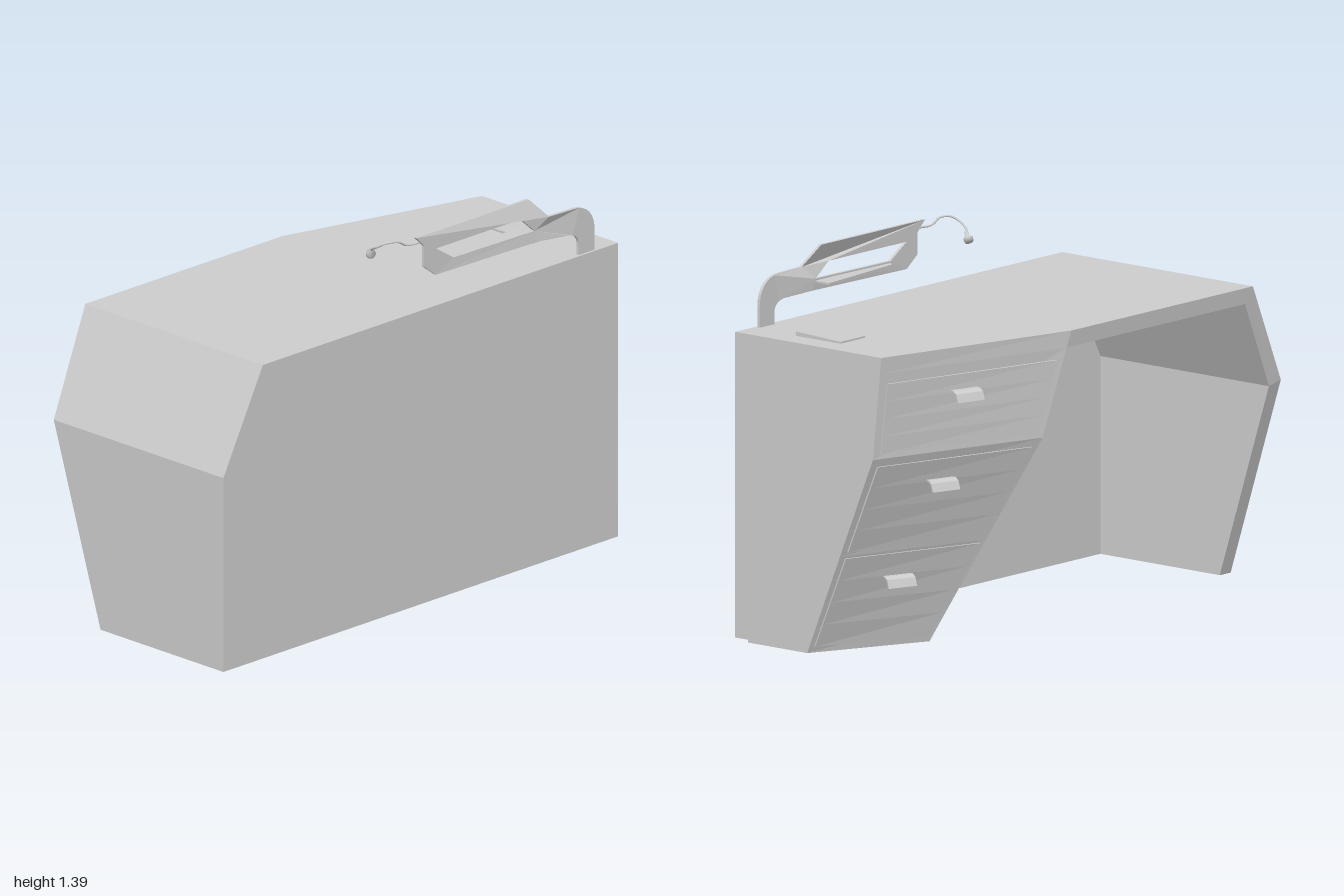
import * as THREE from 'three';

const material = new THREE.MeshStandardMaterial({ color: 0xcccccc });
const lerp = THREE.MathUtils.lerp;

// Skin a list of convex rings (counterclockwise around the direction of travel) with end caps.
function loft(rings) {
  const pos = [];
  const tri = (a, b, c) => pos.push(...a, ...b, ...c);
  const n = rings[0].length;
  for (let i = 0; i < rings.length - 1; i++) {
    for (let j = 0; j < n; j++) {
      const k = (j + 1) % n, r = rings[i], s = rings[i + 1];
      tri(r[j], r[k], s[k]);
      tri(r[j], s[k], s[j]);
    }
  }
  const first = rings[0], last = rings[rings.length - 1];
  for (let j = 1; j < n - 1; j++) {
    tri(first[0], first[j + 1], first[j]);
    tri(last[0], last[j], last[j + 1]);
  }
  const g = new THREE.BufferGeometry();
  g.setAttribute('position', new THREE.Float32BufferAttribute(pos, 3));
  g.computeVertexNormals();
  return g;
}

// Piecewise linear value of y through [y, value] pairs.
function along(y, pts) {
  let i = 0;
  while (i < pts.length - 2 && y > pts[i + 1][0]) i++;
  const [[y0, v0], [y1, v1]] = [pts[i], pts[i + 1]];
  return lerp(v0, v1, (y - y0) / (y1 - y0));
}

// Edges of the drawer front: outer edge at x = 1, slanting inner edge.
const outerZ = y => along(y, [[0, 0.11], [0.75, -0.2], [1.13, -0.24]]);
const innerZ = y => along(y, [[0, -0.09], [0.75, -0.41], [1.13, -0.45]]);
const innerX = y => along(y, [[0, 0.56], [0.75, 0.31], [1.13, 0.2]]);
const legZ = y => along(y, [[0, -0.17], [0.75, -0.41], [1.13, -0.45]]);

function outward(y) {
  const dx = innerX(y) - 1, dz = innerZ(y) - outerZ(y);
  return new THREE.Vector3(-dz, 0, dx).normalize();
}
function facePoint(u, y, off) {
  const n = outward(y);
  return [lerp(1, innerX(y), u) + n.x * off, y, lerp(outerZ(y), innerZ(y), u) + n.z * off];
}
const steps = (a, b, n) => Array.from({ length: n + 1 }, (_, i) => lerp(a, b, i / n));

export function createModel() {
  const model = new THREE.Group();
  const add = (name, geometry, parent = model, mat = material) => {
    const mesh = new THREE.Mesh(geometry, mat);
    mesh.name = name;
    parent.add(mesh);
    return mesh;
  };
  const backZ = 0.39;

  // Upright panel across the front
  const outline = [[-1, 0.01], [1, 0.01], [1, 1.13], [-0.8, 1.13], [-1, 0.75]];
  add('frontPanel', loft([backZ, 0.45].map(z => outline.map(([x, y]) => [x, y, z]))));

  // Worktop with one angled user edge
  add('worktop', loft([[1.07, -0.764], [1.13, -0.8]].map(([y, x]) => [
    [1, y, backZ], [1, y, outerZ(y)], [innerX(y), y, innerZ(y)], [x, y, legZ(y)], [x, y, backZ],
  ])));

  // Side leg that bends into the worktop: outer x, outer y, inner x, inner y
  const bends = [[-1, 0.01, -0.94, 0.01], [-1, 0.75, -0.94, 0.735], [-0.8, 1.13, -0.764, 1.07]];
  add('sideLeg', loft(bends.map(([ox, oy, ix, iy]) => [
    [ix, iy, legZ(iy)], [ox, oy, legZ(oy)], [ox, oy, backZ], [ix, iy, backZ],
  ])));

  // Drawer pedestal, leaning back toward the floor
  add('pedestal', loft([...steps(0, 0.75, 8), 1.07].map(y => [
    [1, y, outerZ(y)], [innerX(y), y, innerZ(y)], [innerX(y), y, backZ], [1, y, backZ],
  ])));

  // Drawers with hooded pulls
  const hood = new THREE.Shape([
    [-0.01, 0.02], [0.025, 0.019], [0.043, 0.01], [0.055, -0.02],
    [0.049, -0.02], [0.038, 0.005], [0.022, 0.013], [-0.01, 0.014],
  ].map(p => new THREE.Vector2(...p)));
  const hoodGeometry = new THREE.ExtrudeGeometry(hood, { depth: 0.115, bevelEnabled: false });
  hoodGeometry.translate(0, 0, -0.0575);
  const drawers = [[0.77, 1.03, 0.955], [0.39, 0.72, 0.625], [0.025, 0.365, 0.26]];
  drawers.forEach(([low, high, pullY], i) => {
    const drawer = new THREE.Group();
    drawer.name = 'drawer' + (i + 1);
    model.add(drawer);
    add('drawerFront', loft(steps(low, high, 4).map(y => [
      facePoint(0.04, y, 0.008), facePoint(0.96, y, 0.008),
      facePoint(0.96, y, -0.01), facePoint(0.04, y, -0.01),
    ])), drawer);
    const n = outward(pullY), up = new THREE.Vector3(0, 1, 0);
    const pull = add('drawerPull', hoodGeometry, drawer);
    pull.quaternion.setFromRotationMatrix(
      new THREE.Matrix4().makeBasis(n, up, new THREE.Vector3().crossVectors(n, up)));
    pull.position.set(...facePoint(0.47, pullY, 0.004));
  });

  // Slightly wedged pad on the worktop
  add('deskPad', loft([[0.03, 1.137], [0.24, 1.146]].map(([z, top]) => [
    [0.775, 1.125, z], [0.91, 1.125, z], [0.91, top, z], [0.775, top, z],
  ])));

  // Thin open arm rising from the worktop
  const arm = new THREE.Shape();
  arm.moveTo(0.81, 1.12);
  arm.lineTo(0.89, 1.12);
  arm.lineTo(0.89, 1.21);
  arm.bezierCurveTo(0.89, 1.27, 0.85, 1.31, 0.79, 1.312);
  [[0.66, 1.315], [0.59, 1.39], [0.02, 1.39], [0.06, 1.35], [0.06, 1.27],
    [0.12, 1.225], [0.62, 1.225], [0.76, 1.217]].forEach(p => arm.lineTo(...p));
  arm.quadraticCurveTo(0.81, 1.21, 0.81, 1.17);
  arm.holes.push(new THREE.Path(
    [[0.12, 1.325], [0.21, 1.268], [0.61, 1.268], [0.55, 1.325]].map(p => new THREE.Vector2(...p))));
  const armGeometry = new THREE.ExtrudeGeometry(arm, { depth: 0.012, bevelEnabled: false, curveSegments: 8 });
  const p = armGeometry.attributes.position;
  for (let i = 0; i < p.count; i++) {
    const shift = THREE.MathUtils.clamp((0.66 - p.getX(i)) / 0.07, 0, 1) * 0.033;
    p.setZ(i, p.getZ(i) + 0.428 - shift);
  }
  armGeometry.computeVertexNormals();
  add('arm', armGeometry);

  // Small ledge under the opening of the arm
  add('armLedge', loft([1.255, 1.262].map(y => [
    [0.615, y, 0.402], [0.615, y, 0.335], [0.23, y, 0.372], [0.2, y, 0.402],
  ])));

  // Gooseneck lamp
  const neck = new THREE.CatmullRomCurve3([
    [0.05, 1.365, 0.398], [-0.01, 1.367, 0.388], [-0.05, 1.388, 0.385], [-0.09, 1.388, 0.365],
    [-0.105, 1.37, 0.335], [-0.095, 1.352, 0.3], [-0.085, 1.34, 0.285],
  ].map(q => new THREE.Vector3(...q)));
  add('lampNeck', new THREE.TubeGeometry(neck, 32, 0.004, 8));
  const head = add('lampHead', new THREE.LatheGeometry(
    [[0, 0.024], [0.006, 0.024], [0.008, 0.008], [0.018, -0.004], [0.016, -0.018], [0, -0.018]]
      .map(q => new THREE.Vector2(...q)).reverse(), 16));
  head.position.set(-0.075, 1.326, 0.274);
  head.quaternion.setFromUnitVectors(new THREE.Vector3(0, 1, 0), new THREE.Vector3(-0.3, 0.75, 0.6).normalize());

  return model;
}
